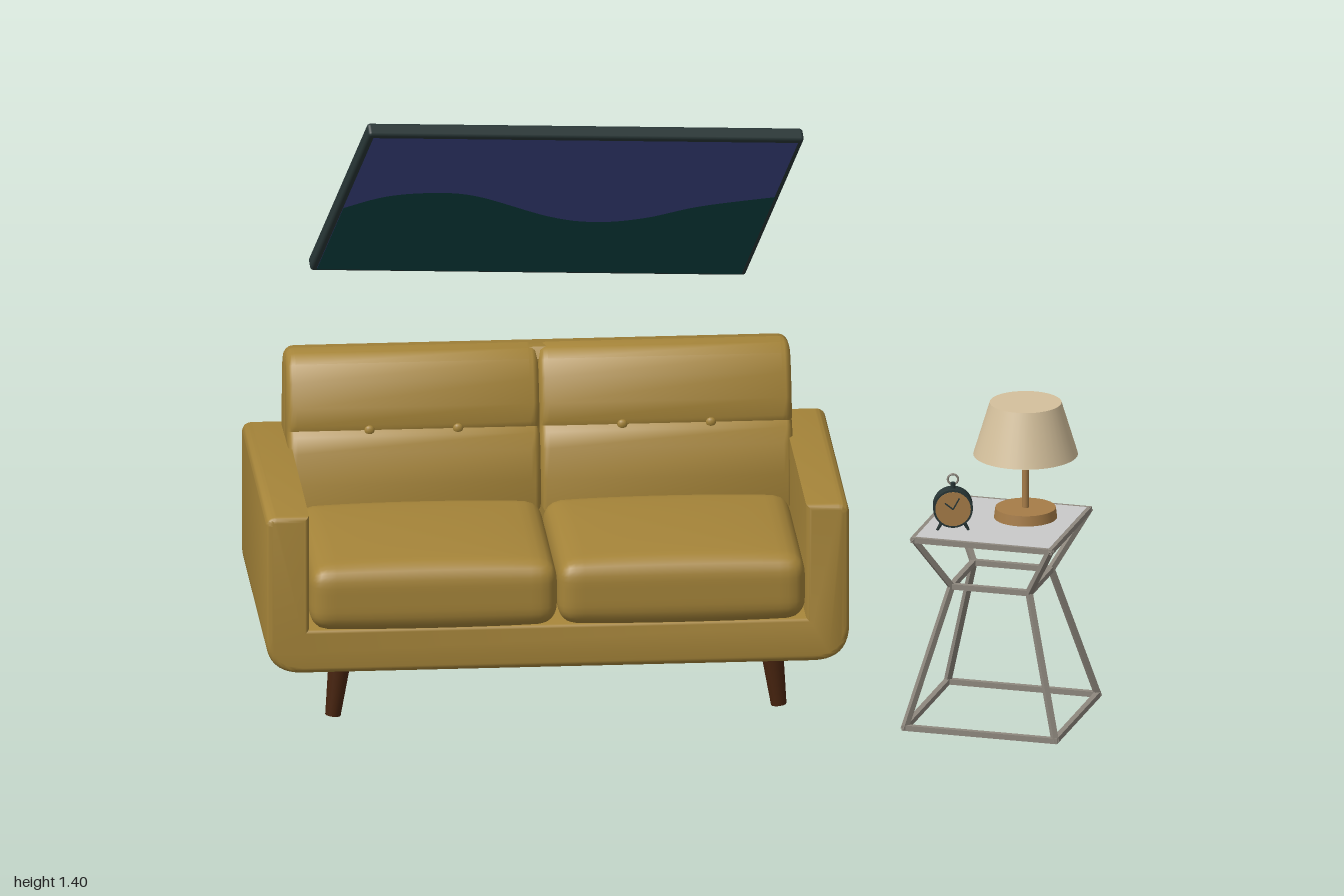
import * as THREE from 'three';
import { mergeVertices, toCreasedNormals } from 'three/addons/utils/BufferGeometryUtils.js';
import { RoundedBoxGeometry } from 'three/addons/geometries/RoundedBoxGeometry.js';

const colour = (name, color, side = THREE.FrontSide) => {
  const m = new THREE.MeshStandardMaterial({ color, side });
  m.name = name;
  return m;
};

const mats = {
  fabric: colour('mustard fabric', 0xa58439),
  legWood: colour('dark wood', 0x48240f),
  frame: colour('dark slate', 0x283636),
  sky: colour('night blue', 0x3d4788),
  hill: colour('deep green', 0x0c4444),
  metal: colour('brushed metal', 0x8e887e),
  top: colour('pale grey', 0xcacaca),
  shade: colour('cream shade', 0xd4c09c),
  wood: colour('light wood', 0xa67c48),
};

function add(parent, name, geometry, material, x = 0, y = 0, z = 0) {
  const mesh = new THREE.Mesh(geometry, material);
  mesh.name = name;
  mesh.position.set(x, y, z);
  parent.add(mesh);
  return mesh;
}

// Square bar between two points
function bar(parent, name, a, b, t, material) {
  const mesh = new THREE.Mesh(new THREE.BoxGeometry(t, t, a.distanceTo(b) + t * 0.8), material);
  mesh.name = name;
  mesh.position.copy(a).lerp(b, 0.5);
  mesh.lookAt(b);
  parent.add(mesh);
}

// Rounded block whose top and bottom swell towards the middle
function cushionGeometry(w, h, d, r, puff) {
  let g = new THREE.BoxGeometry(w, h, d, 28, 10, 28);
  g.deleteAttribute('uv');
  g.deleteAttribute('normal');
  g = mergeVertices(g);
  const p = g.attributes.position, v = new THREE.Vector3(), core = new THREE.Vector3();
  const lim = new THREE.Vector3(w / 2 - r, h / 2 - r, d / 2 - r);
  for (let i = 0; i < p.count; i++) {
    v.fromBufferAttribute(p, i);
    core.copy(v).clamp(lim.clone().negate(), lim);
    v.sub(core).setLength(r).add(core);
    const sx = 1 - (2 * v.x / w) ** 2, sz = 1 - (2 * v.z / d) ** 2;
    v.y += (2 * v.y / h) * puff * Math.sqrt(Math.max(0, sx * sz));
    p.setXYZ(i, v.x, v.y, v.z);
  }
  g.computeVertexNormals();
  return g;
}

function extrude(shape, depth, bevel) {
  const g = new THREE.ExtrudeGeometry(shape, {
    depth: depth - 2 * bevel, bevelSize: bevel, bevelThickness: bevel, bevelOffset: -bevel,
    bevelSegments: 4, curveSegments: 10,
  });
  g.translate(0, 0, bevel - depth / 2);
  return toCreasedNormals(g, 0.7);
}

// Side profile given as [z, y] points, swept along x
function sideSwept(points, width, bevel) {
  const g = extrude(new THREE.Shape(points.map(([z, y]) => new THREE.Vector2(-z, y))), width, bevel);
  return g.rotateY(Math.PI / 2);
}

function createSofa() {
  const sofa = new THREE.Group();
  sofa.name = 'sofa';
  // Arms and base as one U shape with rounded lower corners
  const W = 0.675, I = 0.575, B = 0.12, T = 0.5, R = 0.085, r = 0.025;
  const s = new THREE.Shape();
  s.moveTo(-W + R, B);
  s.lineTo(W - R, B);
  s.quadraticCurveTo(W, B, W, B + R);
  s.lineTo(W, T - r);
  s.quadraticCurveTo(W, T, W - r, T);
  s.lineTo(I, T);
  s.lineTo(I, 0.225);
  s.lineTo(-I, 0.225);
  s.lineTo(-I, T);
  s.lineTo(-W + r, T);
  s.quadraticCurveTo(-W, T, -W, T - r);
  s.lineTo(-W, B + R);
  s.quadraticCurveTo(-W, B, -W + R, B);
  add(sofa, 'armsAndBase', extrude(s, 0.73, 0.014), mats.fabric);
  add(sofa, 'backPanel', new THREE.BoxGeometry(1.17, 0.3, 0.19), mats.fabric, 0, 0.345, -0.266);

  // Back: one rear block and two tufted panels
  const rear = [[-0.357, 0.4], [-0.22, 0.4], [-0.22, 0.68], [-0.24, 0.703], [-0.305, 0.7], [-0.33, 0.68], [-0.346, 0.6], [-0.357, 0.5]];
  add(sofa, 'backRear', sideSwept(rear, 1.17, 0.025), mats.fabric);
  const front = [[-0.26, 0.34], [-0.115, 0.34], [-0.118, 0.42], [-0.135, 0.49], [-0.151, 0.525], [-0.163, 0.537],
    [-0.16, 0.55], [-0.168, 0.59], [-0.187, 0.645], [-0.208, 0.685], [-0.235, 0.703], [-0.28, 0.703]];
  for (const side of [-1, 1]) {
    const panel = add(sofa, 'backCushion', sideSwept(front, 0.584, 0.022), mats.fabric, side * 0.292, 0, 0);
    panel.position.z = 0.004;
    for (const x of [0.19, 0.395]) {
      const button = add(sofa, 'button', new THREE.SphereGeometry(0.012, 12, 8), mats.fabric, side * x, 0.537, -0.157);
      button.scale.z = 0.6;
    }
    // Seat cushion
    add(sofa, 'seatCushion', cushionGeometry(0.572, 0.145, 0.51, 0.04, 0.022), mats.fabric, side * 0.287, 0.3, 0.128);
    // Splayed tapered legs
    for (const z of [-0.308, 0.305]) {
      const leg = add(sofa, 'leg', new THREE.CylinderGeometry(0.026, 0.018, 0.13, 12), mats.legWood, side * 0.508, 0.065, z);
      leg.rotation.z = side * 0.12;
    }
  }
  sofa.position.set(-0.29, 0, -0.05);
  sofa.rotation.y = 0.105;
  return sofa;
}

function createPicture() {
  const g = new THREE.Group();
  g.name = 'framedPanel';
  const w = 1.045, h = 0.58, t = 0.034, f = t / 2;
  add(g, 'panelBody', new RoundedBoxGeometry(w, h, t, 3, 0.008), mats.frame);
  const hw = w / 2 - 0.013, hh = h / 2 - 0.013;
  add(g, 'skyFace', new THREE.PlaneGeometry(2 * hw, 2 * hh), mats.sky, 0, 0, f + 0.001);
  // Wavy hill across the lower half
  const wave = [[-hw, -0.017], [-0.42, 0.033], [-0.31, 0.051], [-0.2, 0.038], [-0.01, -0.043],
    [0.107, -0.064], [0.22, -0.045], [0.34, 0.007], [hw, 0.05]];
  const crest = new THREE.SplineCurve(wave.map(p => new THREE.Vector2(...p))).getPoints(48);
  const hill = new THREE.Shape([new THREE.Vector2(-hw, -hh), new THREE.Vector2(hw, -hh), ...crest.reverse()]);
  add(g, 'hillFace', new THREE.ShapeGeometry(hill), mats.hill, 0, 0, f + 0.003);
  // Rear plate with four mounting points
  add(g, 'rearPlate', new THREE.BoxGeometry(0.82, 0.4, 0.012), mats.frame, 0, -0.045, -f - 0.002);
  for (const x of [-0.084, 0.084]) for (const y of [-0.084, 0.084])
    add(g, 'mountRing', new THREE.TorusGeometry(0.007, 0.0018, 6, 14), mats.top, x, y - 0.045, -f - 0.008);
  const U = new THREE.Vector3(1, -0.1, -0.297).normalize();
  const N = U.clone().cross(new THREE.Vector3(0.15, 0.465, 0.36)).normalize();
  const V = N.clone().cross(U);
  g.quaternion.setFromRotationMatrix(new THREE.Matrix4().makeBasis(U, V, N));
  g.position.set(-0.267, 1.116, -0.12);
  return g;
}

function createTable() {
  const g = new THREE.Group();
  g.name = 'sideTable';
  const t = 0.013;
  const ring = (half, y) => [[-1, -1], [1, -1], [1, 1], [-1, 1]].map(([x, z]) => new THREE.Vector3(x * half, y, z * half));
  const levels = [ring(0.18, t / 2), ring(0.093, 0.33), ring(0.163, 0.458)];
  levels.forEach((pts, k) => pts.forEach((p, i) => {
    bar(g, 'ringBar', p, pts[(i + 1) % 4], t, mats.metal);
    if (k < 2) bar(g, 'strut', p, levels[k + 1][i], t, mats.metal);
  }));
  add(g, 'tableTop', new THREE.BoxGeometry(0.32, 0.008, 0.32), mats.top, 0, 0.461, 0);
  g.position.set(0.77, 0, 0.256);
  g.rotation.y = -0.25;
  return g;
}

function createLamp() {
  const g = new THREE.Group();
  g.name = 'lamp';
  add(g, 'lampBase', new THREE.CylinderGeometry(0.07, 0.073, 0.024, 32), mats.wood, 0, 0.477, 0);
  add(g, 'lampPole', new THREE.CylinderGeometry(0.008, 0.008, 0.15, 14), mats.wood, 0, 0.555, 0);
  add(g, 'lampShade', new THREE.CylinderGeometry(0.083, 0.121, 0.125, 40), mats.shade, 0, 0.681, 0);
  g.position.set(0.825, 0, 0.218);
  return g;
}

function createClock() {
  const g = new THREE.Group();
  g.name = 'clock';
  const disc = (name, r, d, m, z) => { add(g, name, new THREE.CylinderGeometry(r, r, d, 28), m, 0, 0.522, z).rotation.x = Math.PI / 2; };
  disc('clockBody', 0.046, 0.034, mats.frame, 0);
  disc('clockFace', 0.041, 0.006, mats.wood, 0.0165);
  for (const [angle, len] of [[0.9, 0.024], [-0.5, 0.03]]) {
    const hand = add(g, 'clockHand', new THREE.BoxGeometry(0.003, len, 0.002), mats.frame,
      -Math.sin(angle) * len / 2, 0.522 + Math.cos(angle) * len / 2, 0.0205);
    hand.rotation.z = angle;
  }
  for (const side of [-1, 1])
    add(g, 'clockFoot', new THREE.CylinderGeometry(0.005, 0.003, 0.026, 8), mats.frame, side * 0.03, 0.477, 0).rotation.z = side * 0.5;
  add(g, 'clockStem', new THREE.CylinderGeometry(0.006, 0.006, 0.016, 10), mats.frame, 0, 0.573, 0);
  add(g, 'clockRing', new THREE.TorusGeometry(0.012, 0.0025, 6, 18), mats.metal, 0, 0.589, 0);
  g.position.set(0.66, 0, 0.322);
  g.rotation.y = 0.05;
  return g;
}

export function createModel() {
  const model = new THREE.Group();
  model.name = 'livingRoomSet';
  model.add(createSofa(), createPicture(), createTable(), createLamp(), createClock());
  return model;
}
